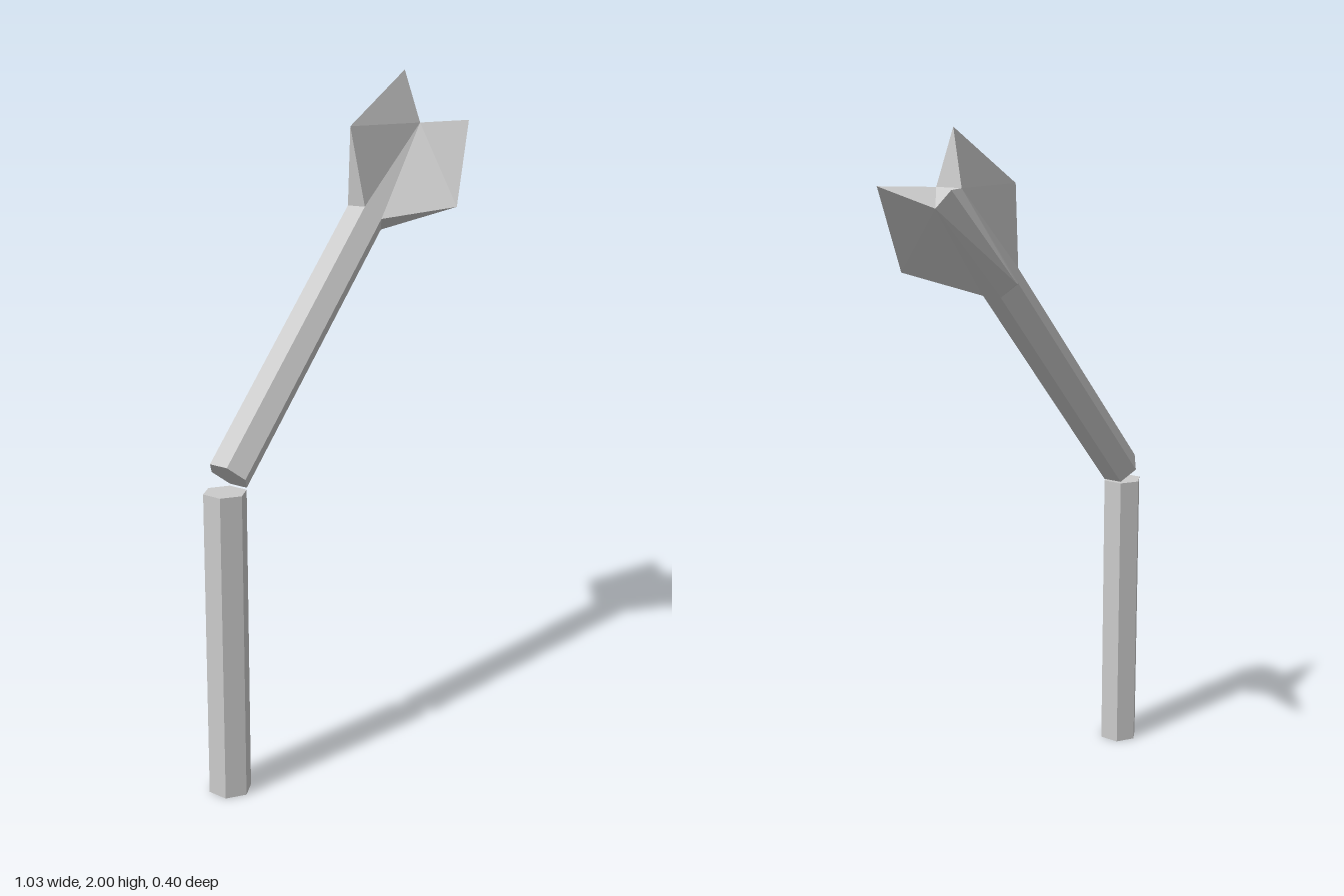
import * as THREE from 'three';

const SHAFT_R = 0.062;   // hexagonal shaft radius
const SHAFT_T = 0.888;   // length of each shaft half
const DEG = Math.PI / 180;

// Point at radius r, angle a (degrees) and height t along the shaft axis
const ring = (r, a, t) => [-r * Math.cos(a * DEG), t, r * Math.sin(a * DEG)];

// Three wedge fins flaring out of alternate shaft faces, with a small end cap
function fletchingGeometry() {
  const corner = a => ring(SHAFT_R, a, SHAFT_T);
  const inner = a => ring(0.05, a, 1.229);
  const pos = [];
  const tri = (...pts) => pts.forEach(p => pos.push(...p));

  for (const a of [0, 120, 240]) {
    const c0 = corner(a - 30), c1 = corner(a + 30), next = corner(a + 90);
    const i0 = inner(a - 60), i1 = inner(a + 60);
    const mid = ring(0.231, a, 1.035), tip = ring(0.145, a, 1.327);
    tri(c0, c1, mid);    // sloping root
    tri(c1, i1, mid);    // one side
    tri(mid, i1, tip);
    tri(c0, mid, i0);    // other side
    tri(mid, tip, i0);
    tri(tip, i1, i0);    // notched end
    tri(c1, next, i1);   // valley between fins
  }
  tri(inner(60), inner(180), inner(300)); // end cap

  const geo = new THREE.BufferGeometry();
  geo.setAttribute('position', new THREE.Float32BufferAttribute(pos, 3));
  geo.computeVertexNormals();
  return geo;
}

export function createModel() {
  const material = new THREE.MeshStandardMaterial({ color: 0xcccccc, flatShading: true });
  const add = (parent, name, geo) => {
    const mesh = new THREE.Mesh(geo, material);
    mesh.name = name;
    parent.add(mesh);
    return mesh;
  };
  // Hexagonal rod standing on its base
  const rod = () => new THREE.CylinderGeometry(SHAFT_R, SHAFT_R, SHAFT_T, 6).translate(0, SHAFT_T / 2, 0);

  const model = new THREE.Group();
  model.name = 'brokenArrow';

  // Upright lower half
  add(model, 'lowerShaft', rod()).position.set(-0.46, 0, 0);

  // Snapped upper half, leaning over and carrying the fins
  const upper = new THREE.Group();
  upper.name = 'upperHalf';
  add(upper, 'upperShaft', rod());
  add(upper, 'fletching', fletchingGeometry());
  upper.position.set(-0.445, 0.93, 0);
  upper.rotation.z = -0.749;
  model.add(upper);

  return model;
}
